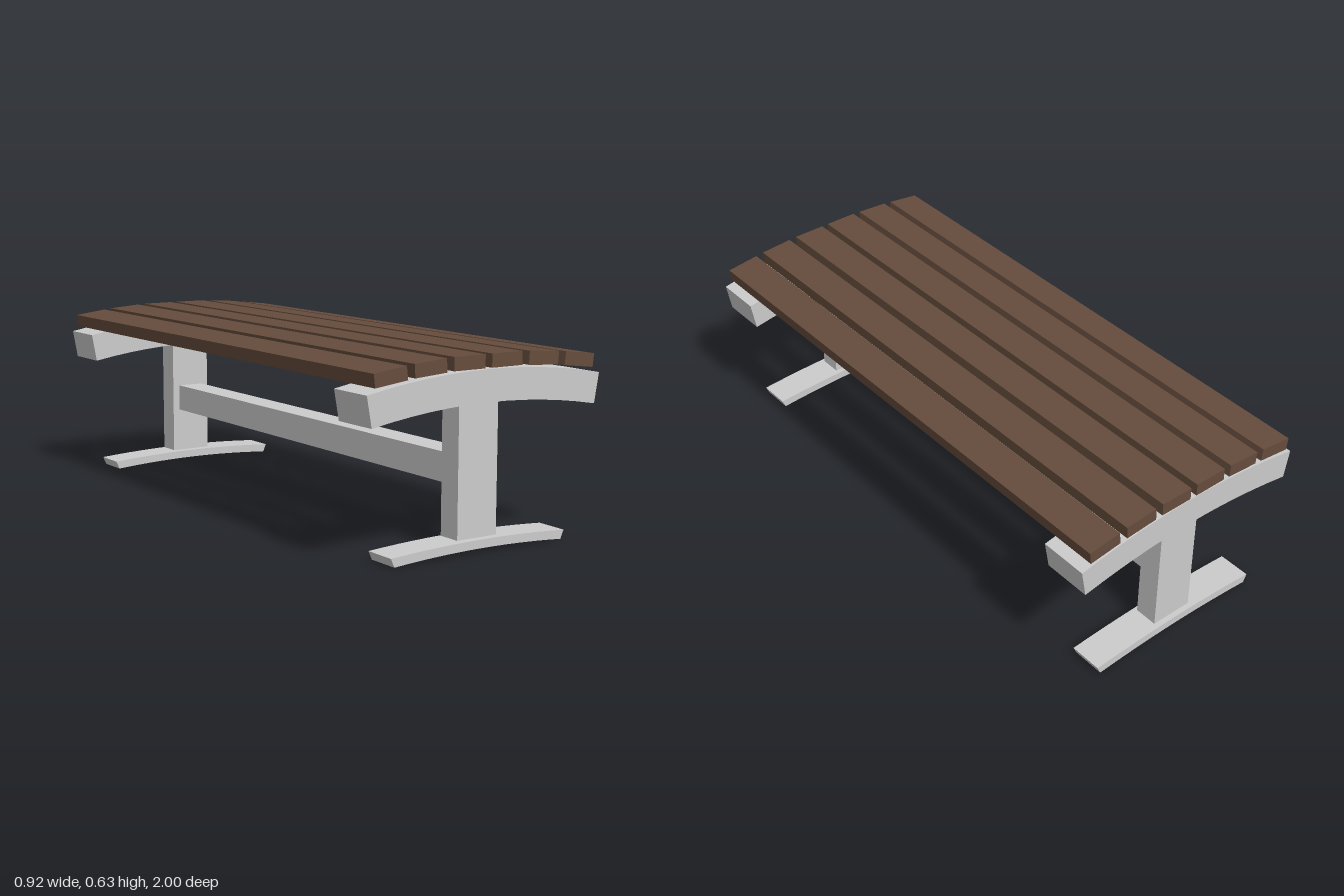
import * as THREE from 'three';

const metal = new THREE.MeshStandardMaterial({ color: 0xcccccc, flatShading: true });
const wood = new THREE.MeshStandardMaterial({ color: 0x654c3c, flatShading: true });

function box(name, material, size, position) {
  const mesh = new THREE.Mesh(new THREE.BoxGeometry(...size), material);
  mesh.name = name;
  mesh.position.set(...position);
  return mesh;
}

// Arched bar running along x: top and bottom edges each have a half width,
// a height at the middle and a drop towards the ends.
function archedBar(name, top, bottom, depth, z, segments = 12) {
  const edge = (e, t) => new THREE.Vector2(e.half * t, e.y - e.drop * t * t);
  const points = [];
  for (let i = 0; i <= segments; i++) points.push(edge(bottom, (2 * i) / segments - 1));
  for (let i = segments; i >= 0; i--) points.push(edge(top, (2 * i) / segments - 1));
  const geometry = new THREE.ExtrudeGeometry(new THREE.Shape(points), { depth, bevelEnabled: false });
  geometry.translate(0, 0, -depth / 2);
  const mesh = new THREE.Mesh(geometry, metal);
  mesh.name = name;
  mesh.position.z = z;
  return mesh;
}

export function createModel() {
  const bench = new THREE.Group();
  bench.name = 'bench';

  // Seat slats following the curve of the supports: x, y, tilt
  const slats = [
    [-0.373, 0.587, 0.122],
    [-0.225, 0.602, 0.07],
    [-0.077, 0.608, 0],
    [0.07, 0.608, 0],
    [0.219, 0.602, -0.07],
    [0.368, 0.587, -0.122],
  ];
  slats.forEach(([x, y, tilt], i) => {
    const slat = box(`seatSlat${i + 1}`, wood, [0.121, 0.044, 2], [x, y, 0]);
    slat.rotation.z = tilt;
    bench.add(slat);
  });

  // End frames: curved seat support, post and curved foot
  for (const [end, side] of [['front', 1], ['back', -1]]) {
    const frame = new THREE.Group();
    frame.name = `${end}Frame`;
    const support = archedBar('seatSupport',
      { half: 0.457, y: 0.583, drop: 0.044 },
      { half: 0.439, y: 0.48, drop: 0.041 }, 0.17, side * 0.915);
    support.position.x = side * -0.003;
    const post = box('post', metal, [0.155, 0.437, 0.083], [-0.003, 0.2635, side * 0.913]);
    const foot = archedBar('foot',
      { half: 0.346, y: 0.042, drop: 0.013 },
      { half: 0.333, y: 0.014, drop: 0.014 }, 0.117, side * 0.914);
    foot.position.x = -0.002;
    frame.add(support, post, foot);
    bench.add(frame);
  }

  // Lengthwise rails joining the two frames
  bench.add(
    box('upperRail', metal, [0.09, 0.097, 1.66], [-0.003, 0.534, 0]),
    box('lowerRail', metal, [0.1, 0.098, 1.744], [-0.003, 0.258, 0]),
  );
  return bench;
}
